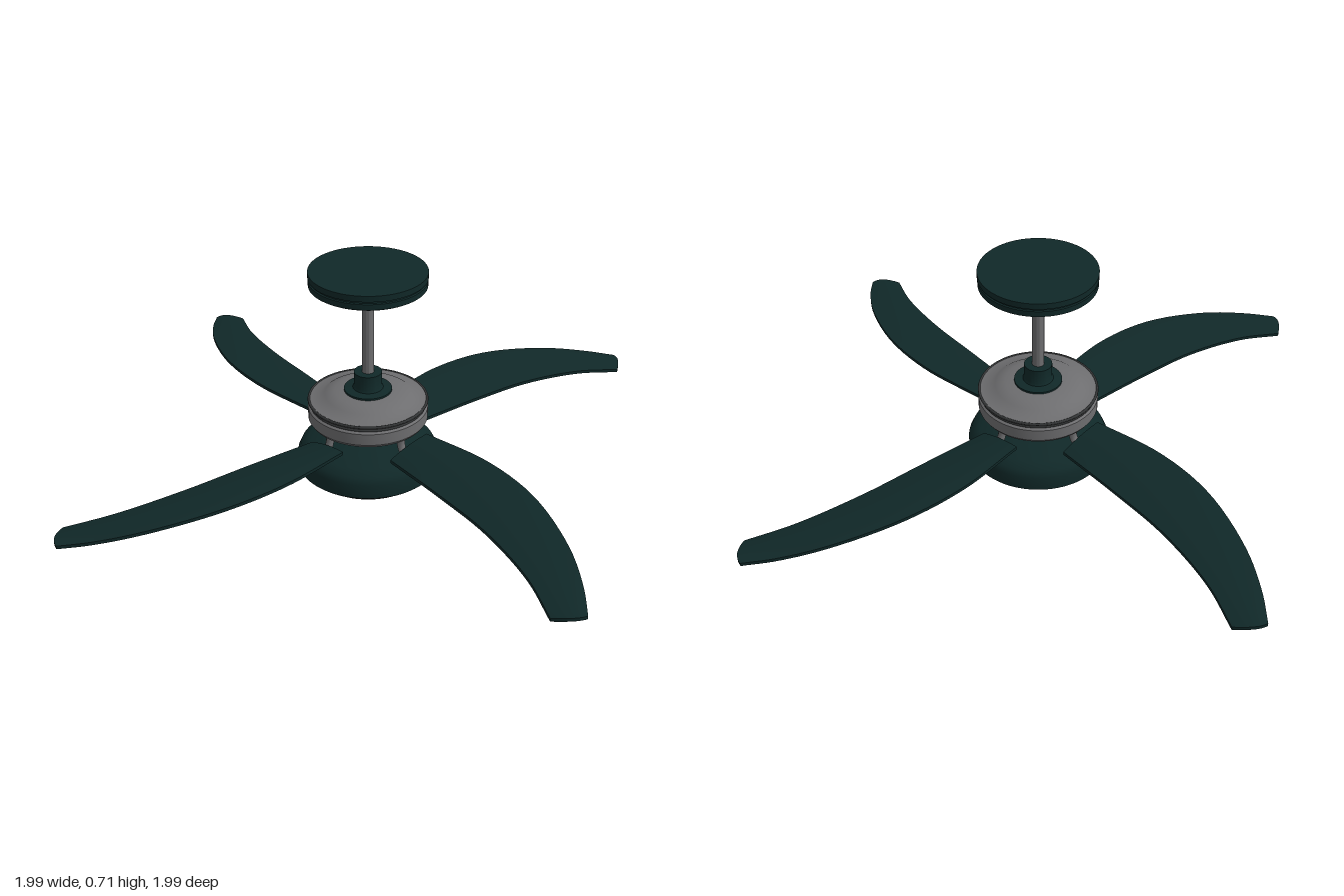
import * as THREE from 'three';
import { toCreasedNormals } from 'three/addons/utils/BufferGeometryUtils.js';

const paint = (name, color) => Object.assign(new THREE.MeshStandardMaterial({ color }), { name });
const V = (x, y, z) => new THREE.Vector3(x, y, z);

export function createModel() {
  const fan = new THREE.Group();
  fan.name = 'ceilingFan';
  const teal = paint('dark teal', 0x102828);
  const metal = paint('grey metal', 0x6e6e70);
  const frosted = paint('frosted shade', 0x7c7c7c);
  const trim = paint('dark trim', 0x333536);

  const add = (parent, name, geometry, material) => {
    const mesh = new THREE.Mesh(geometry, material);
    mesh.name = name;
    parent.add(mesh);
    return mesh;
  };
  // Turned part: [radius, height] pairs from bottom to top
  const turned = (name, profile, material) => {
    const points = profile.map(([r, y]) => new THREE.Vector2(r, y));
    return add(fan, name, toCreasedNormals(new THREE.LatheGeometry(points, 64), 0.6), material);
  };
  const ring = (name, radius, thickness, y) => {
    const mesh = add(fan, name, new THREE.TorusGeometry(radius, thickness, 8, 64), trim);
    mesh.rotation.x = Math.PI / 2;
    mesh.position.y = y;
  };

  // Mounting plate, rod and coupling
  turned('canopy', [[0, 0.615], [0.026, 0.615], [0.036, 0.628], [0.038, 0.645], [0.06, 0.648],
    [0.165, 0.66], [0.173, 0.665], [0.173, 0.682], [0.169, 0.684], [0.169, 0.688], [0.174, 0.69],
    [0.174, 0.708], [0, 0.708]], teal);
  turned('downRod', [[0, 0.33], [0.018, 0.33], [0.018, 0.63], [0, 0.63]], metal);
  turned('coupling', [[0, 0.31], [0.072, 0.31], [0.072, 0.325], [0.046, 0.328], [0.042, 0.335],
    [0.042, 0.38], [0, 0.38]], teal);

  // Motor
  turned('motorHousing', [[0, 0.215], [0.15, 0.215], [0.174, 0.222], [0.181, 0.232], [0.181, 0.268],
    [0.174, 0.275], [0.168, 0.277], [0.168, 0.284], [0.181, 0.286], [0.181, 0.291], [0.145, 0.295],
    [0.13, 0.306], [0.1, 0.317], [0.06, 0.32], [0, 0.32]], metal);
  ring('upperMotorTrim', 0.178, 0.004, 0.29);
  ring('lowerMotorTrim', 0.172, 0.004, 0.276);

  // Light fitting
  turned('lightHousing', [[0, 0.062], [0.207, 0.062], [0.214, 0.068], [0.214, 0.112], [0.205, 0.132],
    [0.18, 0.148], [0.13, 0.163], [0.09, 0.172], [0.082, 0.182], [0.092, 0.195], [0.11, 0.21],
    [0.11, 0.217], [0, 0.217]], teal);
  turned('lightShade', [[0, 0], [0.05, 0.002], [0.1, 0.01], [0.145, 0.022], [0.175, 0.038],
    [0.19, 0.055], [0.192, 0.066]], frosted);
  ring('shadeTrim', 0.192, 0.005, 0.06);

  // Swept blade: a slab stretched between its two edge curves
  const lead = new THREE.CatmullRomCurve3([V(0.17, 0.201, -0.085), V(0.4, 0.203, -0.111),
    V(0.6, 0.196, -0.088), V(0.8, 0.174, -0.01), V(0.92, 0.153, 0.068), V(0.995, 0.138, 0.135)]);
  const trail = new THREE.CatmullRomCurve3([V(0.17, 0.168, 0.06), V(0.4, 0.169, 0.079),
    V(0.6, 0.164, 0.1), V(0.8, 0.149, 0.148), V(0.935, 0.132, 0.208)]);
  const bladeShape = new THREE.BoxGeometry(1, 1, 1, 28, 1, 8);
  const pos = bladeShape.attributes.position;
  for (let i = 0; i < pos.count; i++) {
    const u = pos.getX(i) + 0.5, v = pos.getZ(i) + 0.5, side = pos.getY(i);
    const p = lead.getPoint(u).lerp(trail.getPoint(u), v);
    const bulge = 4 * v * (1 - v);
    p.x += 0.015 * bulge * u ** 8;
    p.y += 0.006 * bulge + side * 0.01;
    pos.setXYZ(i, p.x, p.y, p.z);
  }
  const bladeGeometry = toCreasedNormals(bladeShape, 0.6);

  // Bracket: bent tube from the motor to a tapered plate under the blade
  const bend = new THREE.CatmullRomCurve3([V(0.15, 0.235, 0), V(0.15, 0.195, 0),
    V(0.157, 0.178, 0), V(0.175, 0.172, 0), V(0.22, 0.172, 0)]);
  const tube = new THREE.TubeGeometry(bend, 20, 0.012, 10);
  const plate = new THREE.BoxGeometry(0.12, 0.012, 0.06);
  const pp = plate.attributes.position;
  for (let i = 0; i < pp.count; i++) if (pp.getX(i) > 0) pp.setZ(i, pp.getZ(i) * 0.6);

  for (let i = 0; i < 4; i++) {
    const arm = new THREE.Group();
    arm.name = 'bladeArm' + (i + 1);
    arm.rotation.y = i * Math.PI / 2;
    add(arm, 'blade', bladeGeometry, teal);
    add(arm, 'bracketTube', tube, metal);
    const foot = add(arm, 'bracketPlate', plate, metal);
    foot.position.set(0.23, 0.176, 0);
    foot.rotation.x = 0.22;
    fan.add(arm);
  }
  return fan;
}
